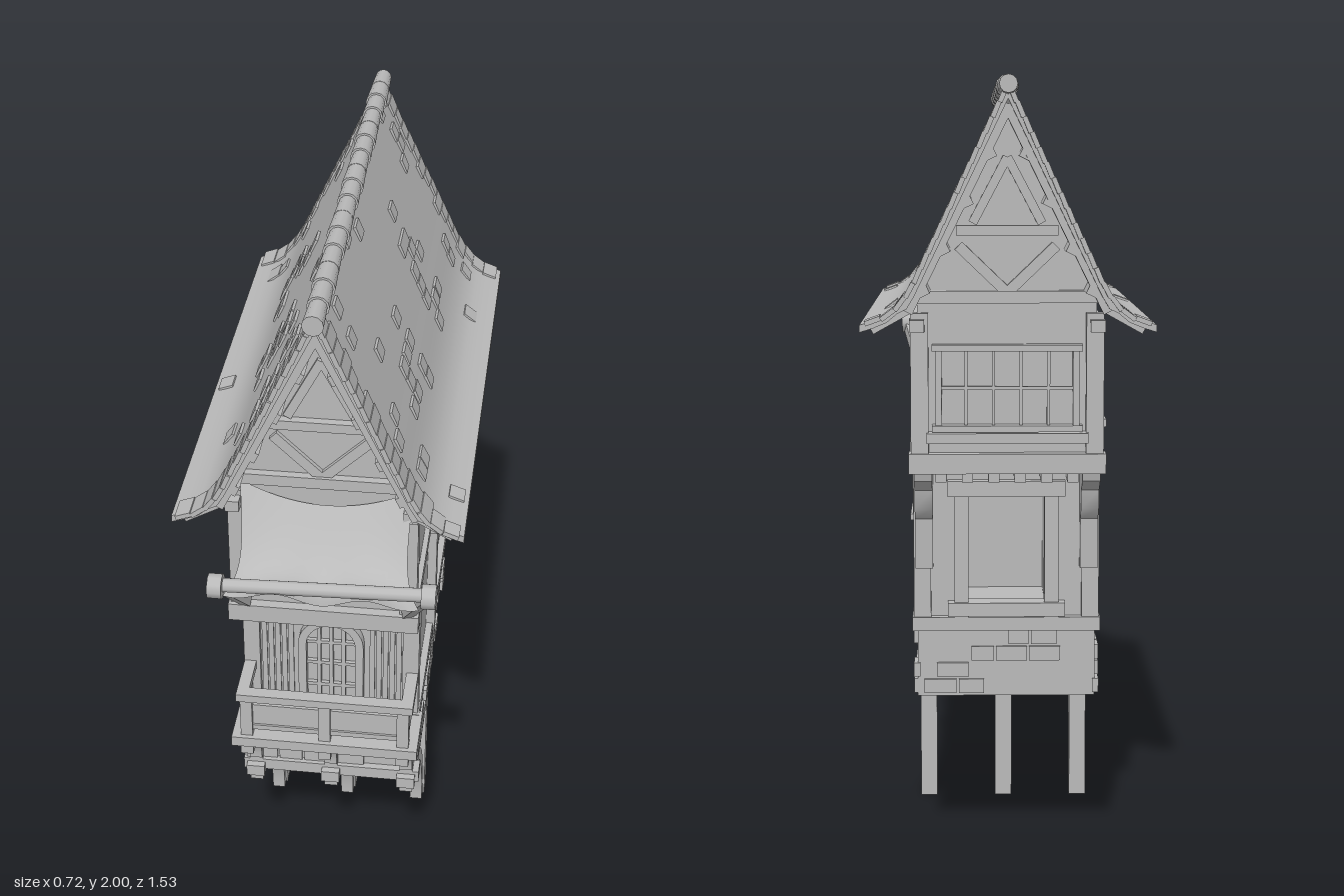
import * as THREE from 'three';
import { toCreasedNormals, mergeGeometries } from 'three/addons/utils/BufferGeometryUtils.js';

export function createModel() {
  const house = new THREE.Group();
  house.name = 'timberHouse';
  const grey = new THREE.MeshStandardMaterial({ color: 0xbababa, side: THREE.DoubleSide });
  grey.name = 'plainGrey';
  let seed = 7;
  const rand = () => (seed = (seed * 16807) % 2147483647) / 2147483647;

  const add = (name, geo) => {
    const m = new THREE.Mesh(geo, grey);
    m.name = name;
    house.add(m);
    return m;
  };
  const boxGeo = (x0, x1, y0, y1, z0, z1) =>
    new THREE.BoxGeometry(x1 - x0, y1 - y0, z1 - z0).translate((x0 + x1) / 2, (y0 + y1) / 2, (z0 + z1) / 2);
  const box = (name, ...b) => add(name, boxGeo(...b));
  // Square timber between two points
  const beam = (name, a, b, w, d = w) => {
    const p = new THREE.Vector3(...a), q = new THREE.Vector3(...b);
    const m = add(name, new THREE.BoxGeometry(w, d, p.distanceTo(q)));
    m.position.copy(p).add(q).multiplyScalar(0.5);
    m.lookAt(q);
    return m;
  };
  // Outline drawn in (z, y), given a thickness along x
  const sideExtrude = (name, shape, x, w) =>
    add(name, toCreasedNormals(new THREE.ExtrudeGeometry(shape, { depth: w, bevelEnabled: false, curveSegments: 16 })
      .translate(0, 0, -w / 2).rotateY(-Math.PI / 2).translate(x, 0, 0), 0.6));
  // Curved timber: quarter ellipse in (z, y)
  const arcBrace = (name, x, w, cz, cy, rz, ry, t, a0, a1) => {
    const s = new THREE.Shape();
    s.absellipse(cz, cy, rz, ry, a0, a1, false, 0);
    s.absellipse(cz, cy, rz - t, ry - t, a1, a0, true, 0);
    return sideExtrude(name, s, x, w);
  };
  const poly = pts => new THREE.Shape(pts.map(p => new THREE.Vector2(...p)));
  const rect = (x0, x1, y0, y1) => poly([[x0, y0], [x1, y0], [x1, y1], [x0, y1]]);
  // Lattice window facing +z, before being turned
  const windowGeo = (w, h, cols, rows) => {
    const f = 0.016, g = [];
    for (const s of [-1, 1]) {
      g.push(boxGeo(s * w / 2 - f / 2, s * w / 2 + f / 2, -h / 2, h / 2, -0.01, 0.022));
      g.push(boxGeo(-w / 2 - f, w / 2 + f, s * h / 2 - f / 2, s * h / 2 + f / 2, -0.01, 0.028));
    }
    for (let i = 1; i < cols; i++) g.push(boxGeo(-w / 2 + w * i / cols - 0.004, -w / 2 + w * i / cols + 0.004, -h / 2, h / 2, 0, 0.012));
    for (let i = 1; i < rows; i++) g.push(boxGeo(-w / 2, w / 2, -h / 2 + h * i / rows - 0.004, -h / 2 + h * i / rows + 0.004, 0, 0.011));
    return mergeGeometries(g);
  };
  const PI = Math.PI, legs = [-0.21, 0, 0.21];

  // Legs with curved braces under the front half
  for (const x of legs) {
    box('leg', x - 0.023, x + 0.023, 0, 0.39, -0.022, 0.028);
    arcBrace('legBrace', x, 0.036, 0.41, 0, 0.39, 0.39, 0.035, PI / 2, PI);
    beam('legStrut', [x, 0.27, 0.14], [x, 0.385, 0.01], 0.03);
    box('floorJoist', x - 0.025, x + 0.025, 0.385, 0.42, -0.06, 0.43);
  }
  box('platform', -0.245, 0.245, 0.395, 0.43, 0.36, 0.41);
  box('platformRear', -0.235, 0.235, 0.395, 0.425, -0.06, -0.01);

  // Stone base with raised blocks
  box('stoneBase', -0.228, 0.228, 0.42, 0.6, -0.495, 0.39);
  const stones = [];
  for (let row = 0; row < 4; row++) {
    const y = 0.428 + row * 0.043;
    for (const s of [-1, 1]) {
      for (let z = -0.5 + rand() * 0.03; z < 0.32;) {
        const l = 0.05 + rand() * 0.05;
        if (rand() < 0.55) stones.push(boxGeo(s * 0.23 - 0.008, s * 0.23 + 0.008, y, y + 0.037, z, z + l));
        z += l + 0.006;
      }
      for (let x = -0.225 + rand() * 0.03; x < 0.15;) {
        const l = 0.05 + rand() * 0.04, zc = s > 0 ? 0.39 : -0.495;
        if (rand() < 0.55) stones.push(boxGeo(x, x + l, y, y + 0.037, zc - 0.008, zc + 0.008));
        x += l + 0.006;
      }
    }
  }
  add('stoneBlocks', mergeGeometries(stones));

  // Lower storey, with an opening through the back wall
  box('lowerWalls', -0.222, 0.222, 0.6, 1.04, -0.28, 0.375);
  const back = rect(-0.222, 0.222, 0.6, 1.04);
  back.holes.push(rect(-0.1, 0.1, 0.66, 0.95));
  add('lowerBackWall', new THREE.ExtrudeGeometry(back, { depth: 0.21, bevelEnabled: false }).translate(0, 0, -0.49));
  for (const s of [-1, 1]) {
    for (const [z0, z1] of [[0.345, 0.392], [-0.505, -0.46]])
      box('lowerCornerPost', s * 0.215 - 0.022, s * 0.215 + 0.022, 0.6, 1.04, z0, z1);
    box('sillBeam', s * 0.225 - 0.016, s * 0.225 + 0.016, 0.595, 0.63, -0.51, 0.4);
    box('upperSideBeam', s * 0.225 - 0.011, s * 0.225 + 0.011, 1.02, 1.05, -0.62, 0.53);
    box('openingPost', s * 0.115 - 0.018, s * 0.115 + 0.018, 0.63, 0.98, -0.515, -0.47);
    // Stepped corbels under the rear overhang
    sideExtrude('corbel', poly([[-0.49, 0.76], [-0.522, 0.76], [-0.528, 0.89], [-0.555, 0.92], [-0.565, 0.97],
      [-0.61, 1.0], [-0.62, 1.04], [-0.49, 1.04]]), s * 0.21, 0.045);
  }
  box('openingLintel', -0.15, 0.15, 0.945, 0.985, -0.52, -0.47);
  box('openingSill', -0.15, 0.15, 0.635, 0.67, -0.525, -0.47);
  box('backSillBeam', -0.24, 0.24, 0.595, 0.63, -0.512, -0.48);
  for (let i = 0; i < 6; i++) box('jettyJoist', -0.165 + i * 0.066 - 0.014, -0.165 + i * 0.066 + 0.014, 0.995, 1.03, -0.6, -0.48);

  // Arched front door
  const arch = (w, y0, y1, r) => {
    const s = new THREE.Shape();
    s.moveTo(-w, y0); s.lineTo(w, y0); s.lineTo(w, y1);
    s.absarc(0, y1, r, 0, PI, false);
    return s;
  };
  const doorFrame = arch(0.088, 0.62, 0.845, 0.088);
  doorFrame.holes.push(arch(0.066, 0.622, 0.845, 0.066));
  add('doorFrame', new THREE.ExtrudeGeometry(doorFrame, { depth: 0.03, bevelEnabled: false }).translate(0, 0, 0.37));
  for (const x of [-0.033, 0, 0.033]) box('doorBar', x - 0.005, x + 0.005, 0.63, x ? 0.9 : 0.91, 0.37, 0.388);
  for (const y of [0.7, 0.775, 0.845]) box('doorRail', -0.068, 0.068, y - 0.005, y + 0.005, 0.37, 0.386);
  for (const s of [-1, 1]) for (let i = 0; i < 5; i++)
    box('wallPlank', s * (0.11 + i * 0.018) - 0.007, s * (0.11 + i * 0.018) + 0.007, 0.63, 0.86 + rand() * 0.14, 0.37, 0.38);

  // Balcony
  box('balconyFloor', -0.25, 0.25, 0.598, 0.628, 0.38, 0.55);
  box('balconyFrontRail', -0.235, 0.235, 0.745, 0.768, 0.505, 0.54);
  box('balconyMidRail', -0.225, 0.225, 0.645, 0.66, 0.512, 0.53);
  box('balconyFrontPanel', -0.225, 0.225, 0.655, 0.725, 0.516, 0.524);
  for (const x of legs) {
    box('balconyPost', x - 0.016, x + 0.016, 0.62, 0.75, 0.505, 0.537);
    arcBrace('balconyBracket', x, 0.034, 0.54, 0.44, 0.155, 0.155, 0.03, PI / 2, PI);
    box('bracketPost', x - 0.018, x + 0.018, 0.43, 0.6, 0.385, 0.41);
  }
  for (const s of [-1, 1]) {
    box('balconySideRail', s * 0.22 - 0.016, s * 0.22 + 0.016, 0.745, 0.768, 0.38, 0.54);
    box('balconySidePanel', s * 0.22 - 0.004, s * 0.22 + 0.004, 0.645, 0.725, 0.39, 0.52);
  }

  // Upper storey with gables
  add('upperWalls', new THREE.ExtrudeGeometry(poly([[-0.222, 1.03], [0.222, 1.03], [0.222, 1.47], [0, 1.92], [-0.222, 1.47]]),
    { depth: 1.12, bevelEnabled: false }).translate(0, 0, -0.605));
  for (const s of [-1, 1]) {
    for (const [z0, z1] of [[0.485, 0.53], [-0.63, -0.585]])
      box('upperCornerPost', s * 0.217 - 0.022, s * 0.217 + 0.022, 1.03, 1.42, z0, z1);
    box('eavesBeam', s * 0.222 - 0.018, s * 0.222 + 0.018, 1.375, 1.405, -0.66, 0.56);
  }
  for (const [zc, s] of [[0.515, 1], [-0.61, -1]]) {
    const z0 = zc - 0.022, z1 = zc + 0.022;
    box('jettyBeam', -0.245, 0.245, 1.022, 1.072, z0 - 0.005, z1 + 0.005);
    box('tieBeam', -0.235, 0.235, 1.445, 1.475, z0, z1);
    box('collarBeam', -0.125, 0.125, 1.61, 1.635, z0, z1);
    for (const k of [-1, 1]) {
      beam('gableBrace', [0, 1.47, zc], [k * 0.12, 1.585, zc], 0.026);
      beam('gableUpperBrace', [k * 0.085, 1.64, zc], [0, 1.8, zc], 0.022);
      // Barge rafters and purlin ends carrying the overhang
      const zb = s > 0 ? 0.605 : -0.7;
      beam('bargeRafter', [0, 1.925, zb], [k * 0.245, 1.43, zb], 0.035, 0.03);
      beam('bargeFoot', [k * 0.24, 1.435, zb], [k * 0.33, 1.385, zb], 0.024, 0.02);
      for (const t of [0.2, 0.45, 0.7, 0.92]) {
        const m = beam('purlinEnd', [k * 0.225 * t, 1.9 - 0.455 * t, zc - s * 0.02], [k * 0.225 * t, 1.9 - 0.455 * t, zb + s * 0.015], 0.028);
        m.rotateZ(k * 0.45);
      }
    }
  }
  // Round front window behind the awning
  add('roundWindow', new THREE.TorusGeometry(0.1, 0.012, 6, 28).translate(0, 1.26, 0.52));
  box('roundWindowBar', -0.006, 0.006, 1.16, 1.36, 0.51, 0.524);
  box('roundWindowCrossbar', -0.1, 0.1, 1.254, 1.266, 0.51, 0.523);

  // Square windows
  add('rearWindow', windowGeo(0.34, 0.2, 5, 2).rotateY(PI).translate(0, 1.235, -0.612));
  box('rearWindowSill', -0.2, 0.2, 1.1, 1.125, -0.65, -0.6);
  add('leftWindow', windowGeo(0.145, 0.155, 3, 3).rotateY(PI / 2).translate(0.222, 0.935, -0.23));
  for (const z of [-0.28, 0.15]) {
    add('rightWindow', windowGeo(0.15, 0.19, 3, 3).rotateY(-PI / 2).translate(-0.222, 1.225, z));
    box('rightWindowSill', -0.262, -0.22, 1.105, 1.125, z - 0.1, z + 0.1);
  }

  // Arched framing on the left wall
  box('sidePost', 0.215, 0.247, 0.62, 1.39, -0.05, -0.008);
  box('sidePostBlock', 0.215, 0.258, 0.955, 1.03, -0.062, 0.004);
  arcBrace('sideArch', 0.235, 0.03, 0.27, 1.01, 0.28, 0.375, 0.03, PI / 2, PI);
  arcBrace('sideArch', 0.235, 0.03, -0.33, 1.01, 0.28, 0.375, 0.03, 0, PI / 2);
  beam('archStrut', [0.235, 1.28, 0.09], [0.235, 1.38, 0.0], 0.024);
  beam('archStrut', [0.235, 1.28, -0.15], [0.235, 1.38, -0.06], 0.024);

  // Flared roof
  const slope = new THREE.CatmullRomCurve3([[0, 1.972], [0.1, 1.765], [0.19, 1.578], [0.245, 1.472], [0.29, 1.425], [0.358, 1.4]]
    .map(p => new THREE.Vector3(p[0], p[1], 0)));
  const top = slope.getSpacedPoints(20).map(p => [p.x, p.y]);
  const under = top.map(([x, y]) => [x, y - (x < 0.25 ? 0.035 : 0.018)]).reverse();
  const shingles = [];
  for (const s of [-1, 1]) {
    const outline = poly([...top, ...under].map(([x, y]) => [s * x, y]));
    add('roofSlope', toCreasedNormals(new THREE.ExtrudeGeometry(outline, { depth: 1.36, bevelEnabled: false })
      .translate(0, 0, -0.73), 0.6));
    const shingle = (t, z, l) => {
      const p = slope.getPointAt(t), d = slope.getTangentAt(t);
      shingles.push(new THREE.BoxGeometry(0.04, 0.012, l).rotateZ(Math.atan2(d.y, d.x) - 0.06)
        .translate(p.x, p.y, z).scale(s, 1, 1));
    };
    for (let r = 0; r < 17; r++) {
      const t = 0.04 + r * 0.057;
      // Ragged ends
      for (const [z, k] of [[0.635, -1], [-0.735, 1]]) {
        const l = 0.04 + rand() * 0.05;
        shingle(t, z + k * l / 2 - k * rand() * 0.012, l);
        if (rand() < 0.4) shingle(t, z + k * (l + 0.05 + rand() * 0.07), 0.05);
      }
      // Worn patches
      if (r > 5 && r < 13) for (const z of [0.16, -0.27]) for (let i = 0; i < 3; i++)
        if (rand() < 0.5) shingle(t, z + (i - 1) * 0.065 + rand() * 0.02, 0.055);
      if (rand() < 0.35) shingle(t, -0.6 + rand() * 1.1, 0.055);
    }
  }
  // Mirrored boxes need their corner order turned
  shingles.forEach(g => {
    if (g.attributes.position.getX(0) < 0) {
      const a = g.index.array;
      for (let i = 0; i < a.length; i += 3) [a[i], a[i + 1]] = [a[i + 1], a[i]];
    }
  });
  add('shingles', mergeGeometries(shingles));
  for (let i = 0; i < 16; i++) {
    const r = 0.026 + (i % 3) * 0.0015;
    add('ridgeTile', new THREE.CylinderGeometry(r, r - 0.004, 0.092, 12).rotateX(PI / 2).translate(0, 1.971, 0.615 - i * 0.0893));
  }

  // Awning cloth, pole and struts
  const cloth = new THREE.PlaneGeometry(1, 1, 24, 14);
  const cp = cloth.attributes.position;
  for (let i = 0; i < cp.count; i++) {
    const u = cp.getX(i) * 2, v = 0.5 - cp.getY(i), swag = 1 - u * u;
    const x = 0.01 + 0.012 * v + u * (0.215 + 0.025 * v - 0.02 * Math.sin(PI * v));
    const y = 1.45 - 0.06 * swag * (1 - v) - 0.19 * v - 0.06 * Math.sin(PI * v) - 0.012 * v * Math.cos(u * 7);
    cp.setXYZ(i, x, y, 0.525 + 0.215 * v + 0.008 * v * swag);
  }
  cloth.computeVertexNormals();
  add('awningCloth', cloth);
  const pole = add('awningPole', new THREE.CylinderGeometry(0.018, 0.018, 0.53, 10).rotateZ(PI / 2 + 0.03));
  pole.position.set(0.025, 1.28, 0.725);
  for (const [x, y, x0] of [[-0.235, 1.272, -0.2], [0.285, 1.288, 0.215]]) {
    beam('awningStrut', [x0, 1.08, 0.53], [x, y, 0.725], 0.028);
    add('poleEnd', new THREE.CylinderGeometry(0.032, 0.032, 0.035, 10).rotateZ(PI / 2).translate(x, y, 0.73));
  }
  return house;
}
